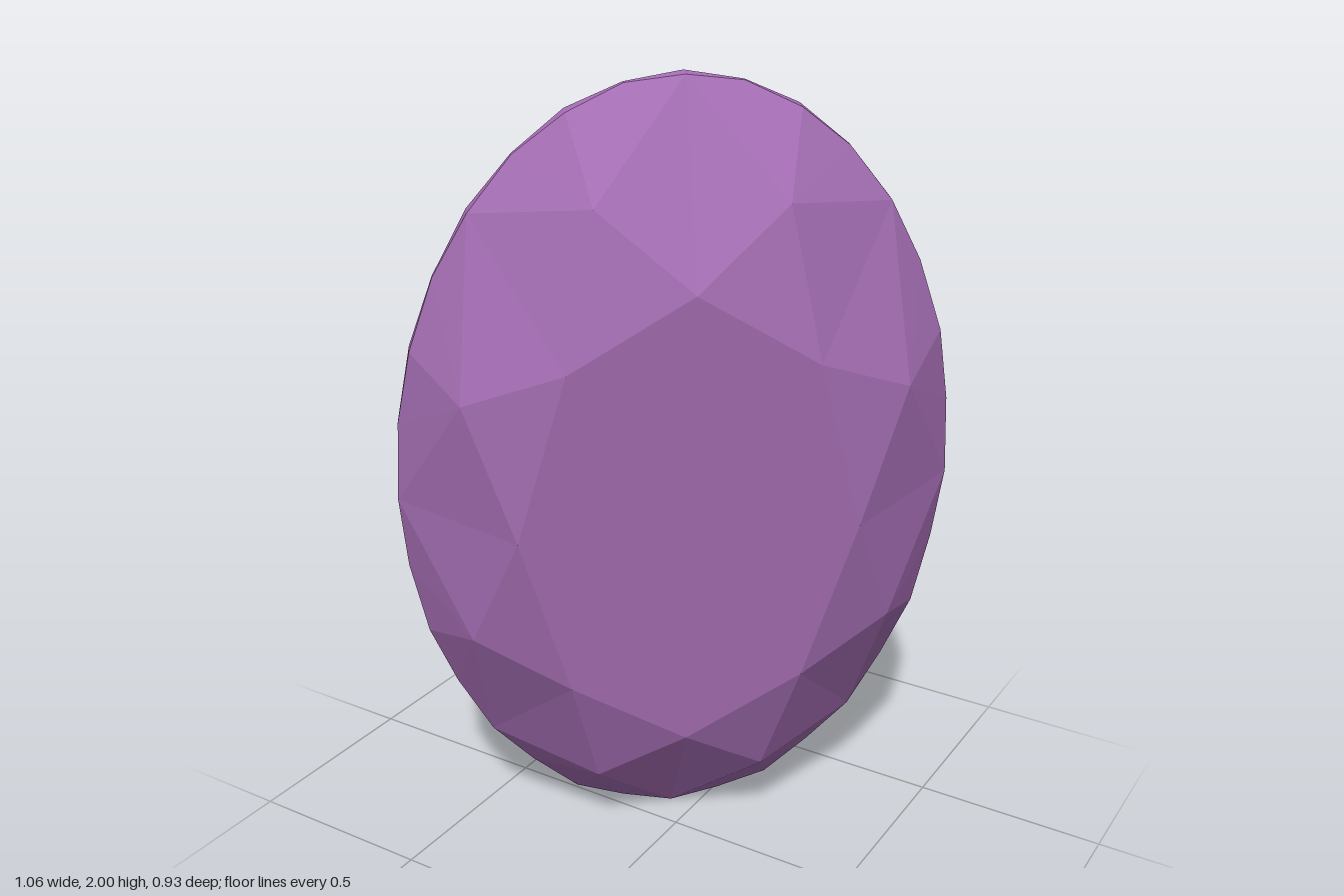
import * as THREE from 'three';

const SIDES = 32;

// Tilted oval frame: short axis, long axis and the direction the table faces
const shortAxis = new THREE.Vector3(0.519, 0, -0.425);
const longAxis = new THREE.Vector3(0.08, 0.998, 0.1);
const facing = shortAxis.clone().cross(longAxis).normalize();
const centre = new THREE.Vector3(0, 1, 0);

// Point at step k around the oval, at radius ratio r and height h along the facing axis
function point(k, r, h) {
  const a = (k / SIDES) * Math.PI * 2;
  return centre.clone()
    .addScaledVector(shortAxis, r * Math.sin(a))
    .addScaledVector(longAxis, r * Math.cos(a))
    .addScaledVector(facing, h);
}

// The girdle is scalloped: thick at even steps, thin at odd ones
const tablePoint = (k) => point(k, 0.595, 0.25);
const crownPoint = (k) => point(k, 0.826, 0.168);
const upperGirdle = (k) => point(k, 1, k % 2 ? 0.003 : 0.017);
const lowerGirdle = (k) => point(k, 1, k % 2 ? -0.007 : -0.017);

// Flat-faceted mesh from convex polygons with counter-clockwise corners
function facetMesh(name, polygons, material) {
  const points = [];
  for (const p of polygons) {
    for (let i = 1; i < p.length - 1; i++) points.push(p[0], p[i], p[i + 1]);
  }
  const geometry = new THREE.BufferGeometry().setFromPoints(points);
  geometry.computeVertexNormals();
  const mesh = new THREE.Mesh(geometry, material);
  mesh.name = name;
  return mesh;
}

export function createModel() {
  const group = new THREE.Group();
  group.name = 'ovalGem';
  const material = new THREE.MeshStandardMaterial({ color: 0xa66fb5, flatShading: true });

  const table = [], stars = [], kites = [], upperFacets = [], girdle = [], pavilion = [];

  // Eight-fold crown: table octagon, star triangles, kites and upper girdle facets
  const octagon = [];
  for (let k = 0; k < SIDES; k += 4) {
    octagon.unshift(tablePoint(k));
    stars.push([tablePoint(k), tablePoint(k + 4), crownPoint(k + 2)]);
    kites.push([tablePoint(k), crownPoint(k + 2), upperGirdle(k), crownPoint(k - 2)]);
    for (let j = k; j < k + 4; j++) {
      upperFacets.push([crownPoint(k + 2), upperGirdle(j + 1), upperGirdle(j)]);
    }
  }
  table.push(octagon);

  // Thin girdle band and the pointed pavilion behind it
  const tip = point(0, 0, -0.54);
  for (let j = 0; j < SIDES; j++) {
    girdle.push([upperGirdle(j), upperGirdle(j + 1), lowerGirdle(j + 1), lowerGirdle(j)]);
    pavilion.push([tip, lowerGirdle(j), lowerGirdle(j + 1)]);
  }

  const parts = { table, stars, kites, upperFacets, girdle, pavilion };
  for (const [name, polygons] of Object.entries(parts)) {
    group.add(facetMesh(name, polygons, material));
  }
  return group;
}
